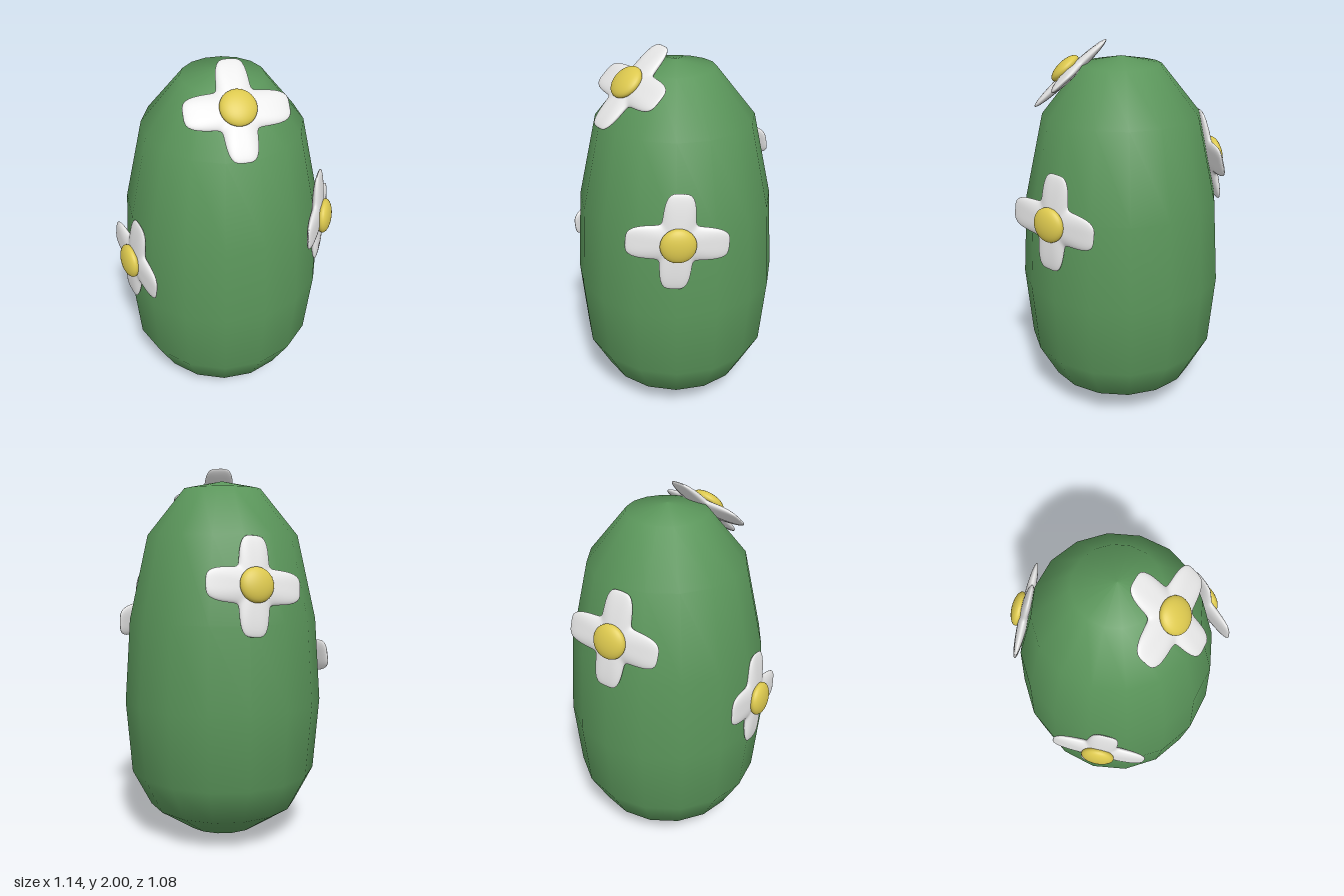
import * as THREE from 'three';

const material = (name, color) => {
  const m = new THREE.MeshStandardMaterial({ color });
  m.name = name;
  return m;
};

// Radius of a rounded-bar outline (half length a, half width b) at an angle
const barRadius = (a, b, c, s) =>
  Math.pow(Math.pow(Math.abs(c) / a, 4) + Math.pow(Math.abs(s) / b, 4), -0.25);

// Pillowy four-petal cross: a sphere flattened along z and stretched to the outline
function petalGeometry() {
  const g = new THREE.SphereGeometry(1, 96, 24);
  g.rotateX(Math.PI / 2);
  const p = g.attributes.position;
  for (let i = 0; i < p.count; i++) {
    const x = p.getX(i), y = p.getY(i), z = p.getZ(i);
    const d = Math.hypot(x, y);
    if (d < 1e-6) {
      p.setXYZ(i, 0, 0, z * 0.027);
      continue;
    }
    const c = x / d, s = y / d;
    const across = barRadius(0.25, 0.088, c, s);
    const upright = barRadius(0.08, 0.25, c, s);
    const r = Math.pow(across ** 8 + upright ** 8, 1 / 8);
    p.setXYZ(i, x * r, y * r, z * 0.027);
  }
  g.computeVertexNormals();
  return g;
}

export function createModel() {
  const model = new THREE.Group();
  model.name = 'floweringCactus';
  const green = material('cactus green', 0x5a955a);
  const white = material('petal white', 0xe8e8e8);
  const yellow = material('flower centre yellow', 0xdcc84e);

  // Body: sixteen-sided smooth egg shape
  const profile = [
    [0, 0], [0.206, 0.04], [0.405, 0.175], [0.506, 0.37], [0.537, 0.757],
    [0.506, 1.2], [0.405, 1.64], [0.206, 1.885], [0, 1.925],
  ].map(([r, y]) => new THREE.Vector2(r, y));
  const body = new THREE.Mesh(
    new THREE.LatheGeometry(profile, 16, THREE.MathUtils.degToRad(5.9)), green);
  body.name = 'body';
  body.position.x = 0.02;
  model.add(body);

  // Flowers: position, across direction and up direction of each
  const petals = petalGeometry();
  const dome = new THREE.SphereGeometry(1, 32, 20).scale(0.088, 0.088, 0.038);
  const flowers = [
    ['topFlower', [0, 1.83, 0.26], [0.49, -0.01, 0.05], [0.04, 0.34, -0.37]],
    ['leftFlower', [0.427, 1.185, 0.328], [0.285, -0.04, -0.405], [0, 0.49, -0.055]],
    ['rightFlower', [-0.494, 0.96, 0.107], [0.09, -0.08, 0.475], [0.05, 0.48, 0.071]],
    ['backFlower', [-0.058, 1.39, -0.465], [-0.49, -0.04, 0.1], [-0.016, 0.485, 0.115]],
  ];
  for (const [name, position, across, up] of flowers) {
    const x = new THREE.Vector3(...across).normalize();
    const z = new THREE.Vector3().crossVectors(x, new THREE.Vector3(...up)).normalize();
    const y = new THREE.Vector3().crossVectors(z, x);
    const flower = new THREE.Group();
    flower.name = name;
    flower.position.set(...position);
    flower.quaternion.setFromRotationMatrix(new THREE.Matrix4().makeBasis(x, y, z));
    const cross = new THREE.Mesh(petals, white);
    cross.name = 'petals';
    const centre = new THREE.Mesh(dome, yellow);
    centre.name = 'flowerCentre';
    centre.position.z = 0.035;
    flower.add(cross, centre);
    model.add(flower);
  }
  return model;
}
